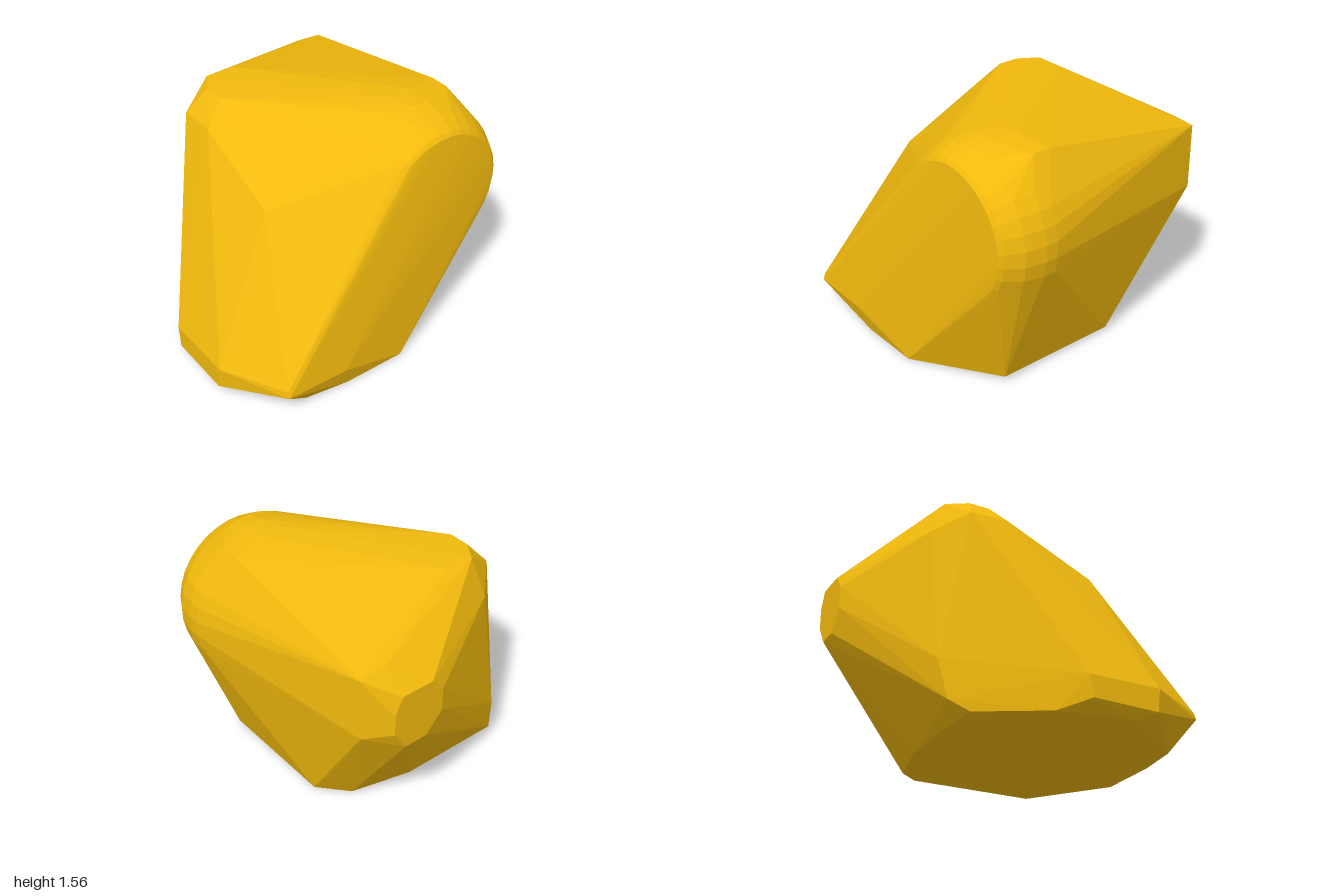
import * as THREE from 'three';
import { ConvexGeometry } from 'three/addons/geometries/ConvexGeometry.js';

// One chipped, convex nugget: the hull of its facet corners and a rounded shoulder.
export function createModel() {
  const group = new THREE.Group();
  group.name = 'nugget';
  const points = [];
  const add = (...list) => list.forEach(p => points.push(new THREE.Vector3(...p)));

  // rounded front shoulder: stacked arcs [radius, z]
  for (const [r, z] of [[0.43, 0.82], [0.455, 0.8], [0.515, 0.69], [0.54, 0.56], [0.54, 0.48]]) {
    for (let i = 0; i <= 16; i++) {
      const a = THREE.MathUtils.degToRad(-38 + i * 11);
      add([0.46 + r * Math.cos(a), 1.02 + r * Math.sin(a), z]);
    }
  }
  // base
  add([0.68, 0.03, 0.6], [0.12, 0, 0.92], [-0.3, 0, 0.92], [-0.59, 0, 0.88], [-0.95, 0, 0.4],
    [-0.88, 0, -0.08], [-0.6, 0.02, -0.47], [-0.48, 0, -0.5], [0.1, 0, -0.5], [0.5, 0, -0.4],
    [0.68, 0.03, -0.24]);
  // low front and side toe
  add([-0.78, 0.17, 0.965], [-0.36, 0.16, 0.965], [-0.78, 0.21, 0.95],
    [-1, 0.06, 0.53], [-1, 0.21, 0.55], [-1, 0.21, 0.08], [-1, 0.07, 0.1]);
  // sloping flank and its low back corner
  add([-0.54, 1.1, 0.39], [-0.54, 1.12, -0.2], [-0.54, 1.37, -0.2], [-0.54, 1.36, -0.45],
    [-0.53, 0.1, -0.58], [-0.49, 0.36, -0.63], [-0.36, 1.27, -0.63]);
  // top
  add([-0.41, 1.51, -0.26], [-0.41, 1.51, -0.4], [-0.33, 1.51, -0.53], [-0.14, 1.51, -0.53],
    [0.77, 1.53, 0.35], [0.77, 1.53, 0.47], [0.38, 1.56, 0.4], [0.54, 1.56, 0.4]);
  // blunt back end
  add([0.6, 1.33, -0.83], [0.77, 1.32, -0.83], [0.77, 0.9, -0.83],
    [0.36, 1.2, -0.97], [0.58, 1.2, -0.97], [0.635, 1.09, -0.97], [0.635, 0.95, -0.97],
    [0.55, 0.82, -0.97], [0.4, 0.82, -0.97], [0.28, 0.95, -0.97], [0.28, 1.1, -0.97]);
  // corner of the other flank
  add([0.875, 0.79, -0.04]);

  const body = new THREE.Mesh(
    new ConvexGeometry(points),
    new THREE.MeshStandardMaterial({ color: 0xf2ba0d })
  );
  body.name = 'nuggetBody';
  group.add(body);
  return group;
}
